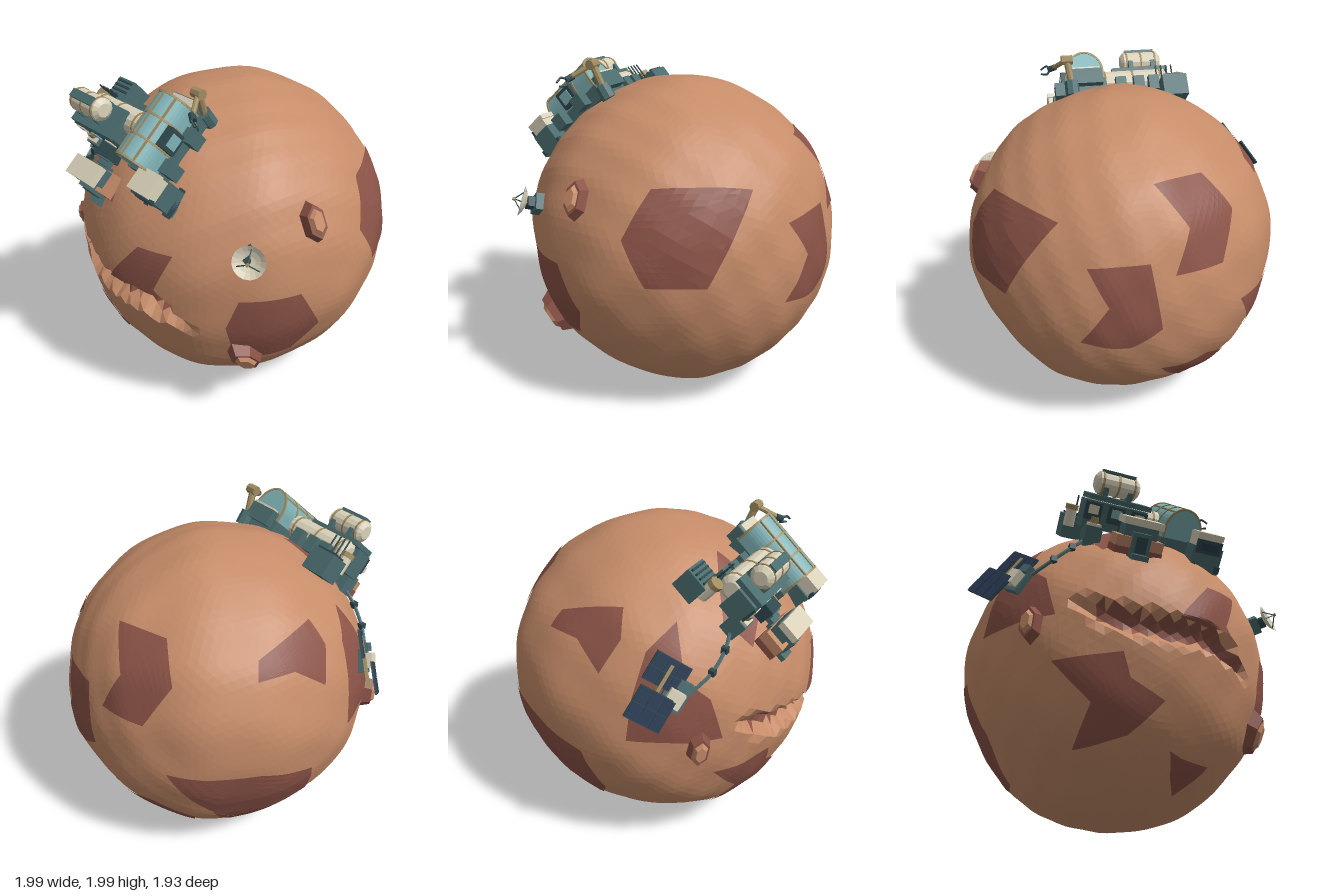
import * as THREE from 'three';

const V = (x, y, z) => new THREE.Vector3(x, y, z);
const paint = (name, color, side = THREE.FrontSide) =>
  Object.assign(new THREE.MeshStandardMaterial({ color, flatShading: true, side }), { name });

const CENTER = V(0.04, 0.955, -0.02), RADIUS = 0.942;
const clamp = THREE.MathUtils.clamp;

// Canyon centre line on the front, as x, y relative to the planet centre
const CANYON = [[-0.6, 0.14], [-0.42, 0], [-0.24, -0.06], [0, -0.09], [0.2, -0.08], [0.38, -0.13], [0.52, -0.24]];
function canyon(d) {
  const x = d.x * RADIUS, y = d.y * RADIUS;
  if (d.z < 0 || x < -0.59 || x > 0.51) return { offset: 9, width: 0.01 };
  const i = CANYON.findIndex((p, k) => k > 0 && x <= p[0]);
  const [a, b] = [CANYON[i - 1], CANYON[i]];
  const line = a[1] + (b[1] - a[1]) * (x - a[0]) / (b[0] - a[0]);
  const taper = clamp((x + 0.6) * 5, 0.05, 1) * clamp((0.52 - x) * 6, 0.05, 1);
  return { offset: y - line, width: 0.085 * taper, taper };
}
// Point on the lumpy surface in direction d
function surface(d, lift = 0) {
  const n = d.clone().normalize(), { x, y, z } = n, c = canyon(n);
  const lumps = 0.006 * Math.sin(7 * x + 2 * y) + 0.006 * Math.sin(6 * y + 5 * z + 2) + 0.004 * Math.sin(8 * x - 11 * z)
    + 0.005 * Math.sin(17 * x + 9 * z) * Math.sin(15 * y - 6 * x);
  const cut = 0.095 * (c.taper || 0) * clamp(1.7 * (1 - Math.abs(c.offset) / c.width), 0, 1);
  return n.multiplyScalar(RADIUS + lumps - cut + lift);
}
function triangles(points) {
  const g = new THREE.BufferGeometry().setFromPoints(points);
  g.computeVertexNormals();
  return g;
}

// Dark ground patch: polygon drawn in a tangent frame and wrapped over the ground
function patchPoints([right, up], outline) {
  const R = V(...right), U = V(...up), T = R.clone().cross(U), out = [], N = 8;
  const dirs = outline.map(([u, v]) => R.clone().multiplyScalar(u).addScaledVector(U, v)
    .addScaledVector(T, Math.sqrt(Math.max(0.001, RADIUS ** 2 - u * u - v * v))));
  for (const f of THREE.ShapeUtils.triangulateShape(outline.map(p => new THREE.Vector2(...p)), [])) {
    let [a, b, c] = f.map(i => dirs[i]);
    if (b.clone().sub(a).cross(c.clone().sub(a)).dot(a) < 0) [b, c] = [c, b];
    const at = (i, j) => surface(a.clone().multiplyScalar(N - i - j).addScaledVector(b, i).addScaledVector(c, j), 0.006);
    for (let i = 0; i < N; i++) for (let j = 0; j < N - i; j++) {
      out.push(at(i, j), at(i + 1, j), at(i, j + 1));
      if (i + j < N - 1) out.push(at(i + 1, j), at(i + 1, j + 1), at(i, j + 1));
    }
  }
  return out;
}
const FRONT = [[1, 0, 0], [0, 1, 0]], SIDE = [[0, 0, -1], [0, 1, 0]], TOP = [[1, 0, 0], [0, 0, -1]];
const BACK_A = [[-0.82, 0, 0.57], [0.22, 0.92, 0.32]], BACK_B = [[-0.82, 0, -0.57], [0.22, 0.92, -0.32]];
const PATCHES = [
  [FRONT, [[0.22, 0.245], [0.42, 0.245], [0.33, 0.02], [0.36, -0.02], [0.02, -0.01], [0.06, 0.05]]],
  [FRONT, [[-0.61, -0.255], [-0.28, -0.23], [-0.23, -0.36], [-0.03, -0.455], [-0.19, -0.615], [-0.43, -0.665], [-0.4, -0.47]]],
  [FRONT, [[0.06, -0.665], [0.14, -0.685], [0.33, -0.685], [0.2, -0.835], [0.12, -0.77]]],
  [FRONT, [[-0.9, 0.01], [-0.61, 0], [-0.64, 0.25], [-0.7, 0.36], [-0.58, 0.62], [-0.74, 0.49], [-0.86, 0.25]]],
  [SIDE, [[-0.61, 0.005], [-0.31, 0.015], [-0.16, -0.245], [-0.26, -0.455], [-0.54, -0.455], [-0.65, -0.185]]],
  [SIDE, [[0.23, 0.5], [0.67, 0.48], [0.62, 0.245], [0.56, 0.005], [0.27, 0.005], [0.13, 0.245]]],
  [TOP, [[-0.28, -0.5], [-0.12, -0.4], [-0.08, -0.66], [-0.35, -0.75], [-0.42, -0.6]]],
  [BACK_A, [[-0.35, 0.375], [-0.055, 0.35], [0.03, 0.11], [-0.125, -0.145], [-0.41, -0.11], [-0.28, 0.11]]],
  [BACK_A, [[0.43, 0.3], [0.61, 0.51], [0.72, 0.38], [0.765, 0.17], [0.61, 0.25], [0.45, 0.19]]],
  [BACK_A, [[0.015, -0.42], [0.53, -0.36], [0.757, -0.355], [0.7, -0.6], [0.45, -0.82], [0.29, -0.86], [0.24, -0.69], [0.14, -0.58]]],
  [BACK_B, [[0.2, 0.6], [0.5, 0.57], [0.58, 0.21], [0.43, 0.14], [0.17, 0.2], [0.33, 0.41]]],
  [BACK_B, [[0.54, -0.14], [0.74, -0.21], [0.765, -0.42], [0.605, -0.59], [0.43, -0.59], [0.57, -0.42]]],
];

export function createModel() {
  const soil = paint('soil', 0xc68c69), rock = paint('darkRock', 0x8b5347);
  const cream = paint('cream', 0xd9d1b9, THREE.DoubleSide), teal = paint('teal', 0x4b6c6e), deep = paint('deepTeal', 0x2f484d);
  const glass = paint('glass', 0x7fb2b6), tan = paint('tan', 0xa08c60), navy = paint('navy', 0x293a52);
  const model = new THREE.Group();

  const add = (parent, name, geo, mat, x = 0, y = 0, z = 0) => {
    const m = new THREE.Mesh(geo, mat);
    m.name = name;
    m.position.set(x, y, z);
    parent.add(m);
    return m;
  };
  const box = (p, name, mat, w, h, d, x, y, z) => add(p, name, new THREE.BoxGeometry(w, h, d), mat, x, y, z);
  const rod = (p, name, mat, a, b, r, r2 = r, sides = 8) => {
    const A = V(...a), B = V(...b), dir = B.clone().sub(A);
    const m = add(p, name, new THREE.CylinderGeometry(r2, r, dir.length(), sides), mat);
    m.position.copy(A.add(B).multiplyScalar(0.5));
    m.quaternion.setFromUnitVectors(V(0, 1, 0), dir.normalize());
  };
  const group = (p, name, x = 0, y = 0, z = 0) => {
    const g = new THREE.Group();
    g.name = name;
    g.position.set(x, y, z);
    p.add(g);
    return g;
  };

  // Planet, with the canyon floor and upper wall in dark rock
  const world = group(model, 'planet', ...CENTER.toArray());
  const pos = new THREE.IcosahedronGeometry(1, 20).getAttribute('position');
  const ground = [], wall = [];
  for (let i = 0; i < pos.count; i += 3) {
    const t = [0, 1, 2].map(k => V(0, 0, 0).fromBufferAttribute(pos, i + k));
    const mid = t[0].clone().add(t[1]).add(t[2]).divideScalar(3), c = canyon(mid);
    const dark = mid.x > -0.47 && c.offset > -0.35 * c.width && c.offset < c.width * 0.8;
    (dark ? wall : ground).push(...t.map(p => surface(p)));
  }
  add(world, 'ground', triangles(ground), soil);
  add(world, 'canyonWall', triangles(wall), rock);
  PATCHES.forEach(([frame, outline]) => add(world, 'groundPatch', triangles(patchPoints(frame, outline)), rock));

  // Rock outcrops, stretched along a given direction: dark rim, lighter crown
  for (const [dir, along, s] of [
    [[0.837, 0.395, 0.19], [0, 1, 0.1], 1.1], [[0.67, -0.435, 0.51], [0, 1, 1], 1.3], [[-0.71, -0.035, 0.62], [0.25, 1, 0], 1]]) {
    const Y = V(...dir).normalize(), X = Y.clone().cross(V(...along)).normalize(), Z = X.clone().cross(Y);
    const m = group(world, 'outcrop', ...surface(Y, 0.015).toArray());
    m.quaternion.setFromRotationMatrix(new THREE.Matrix4().makeBasis(X, Y, Z));
    m.scale.set(s, 1, 1.65 * s);
    add(m, 'outcropRim', new THREE.CylinderGeometry(0.053, 0.071, 0.08, 6), rock);
    add(m, 'outcropCrown', new THREE.CylinderGeometry(0.03, 0.042, 0.02, 6), soil, 0, 0.05, 0);
  }

  // Station, in a frame whose y axis leaves the planet centre
  const base = group(world, 'station');
  base.rotation.x = 0.733;

  // Greenhouse vault
  const house = group(base, 'greenhouse', 0.13, 0.975, -0.245);
  const arch = (w, h) => {
    const s = new THREE.Shape();
    s.moveTo(-w, 0).lineTo(w, 0).lineTo(w, 0.06);
    s.absellipse(0, 0.06, w, h - 0.06, 0, Math.PI, false);
    return s.lineTo(-w, 0);
  };
  const extrude = (shape, depth) => new THREE.ExtrudeGeometry(shape, { depth, bevelEnabled: false, curveSegments: 10 });
  add(house, 'vault', extrude(arch(0.113, 0.188), 0.4), glass);
  for (const z of [-0.004, 0.128, 0.26, 0.39]) {
    const ring = arch(0.118, 0.193);
    ring.holes.push(arch(0.106, 0.181));
    add(house, 'rib', extrude(ring, 0.012), tan, 0, 0, z);
  }
  for (const a of [0.9, Math.PI / 2, Math.PI - 0.9])
    box(house, 'purlin', tan, 0.01, 0.01, 0.4, 0.113 * Math.cos(a), 0.06 + 0.128 * Math.sin(a), 0.2);
  box(house, 'floor', teal, 0.25, 0.09, 0.42, 0, -0.04, 0.2);
  box(house, 'hatchFrame', deep, 0.05, 0.11, 0.12, 0.12, 0.07, 0.2);
  box(house, 'hatchWindow', glass, 0.008, 0.07, 0.075, 0.146, 0.07, 0.2);
  box(house, 'rearLocker', teal, 0.2, 0.1, 0.06, 0, 0, -0.03);
  box(house, 'rearLockerLid', cream, 0.17, 0.015, 0.045, 0, 0.055, -0.03);
  for (const z of [0.12, 0.32]) box(house, 'sideLocker', teal, 0.08, 0.09, 0.08, 0.155, -0.02, z);

  // Robot arm beside the vault
  const arm = group(base, 'robotArm', -0.03, 0, 0);
  rod(arm, 'armFoot', teal, [0.26, 0.86, -0.27], [0.26, 0.95, -0.28], 0.045);
  rod(arm, 'upperArm', tan, [0.26, 0.94, -0.28], [0.28, 1.075, -0.33], 0.022);
  rod(arm, 'elbow', tan, [0.245, 1.075, -0.33], [0.315, 1.075, -0.33], 0.03);
  rod(arm, 'forearm', tan, [0.28, 1.075, -0.33], [0.36, 1.09, -0.2], 0.015);
  rod(arm, 'wrist', deep, [0.345, 1.09, -0.21], [0.385, 1.09, -0.18], 0.02);
  for (const s of [-1, 1]) {
    rod(arm, 'claw', deep, [0.37, 1.09, -0.19], [0.4, 1.09 + 0.03 * s, -0.17], 0.007);
    rod(arm, 'clawTip', deep, [0.4, 1.09 + 0.03 * s, -0.17], [0.435, 1.09 + 0.015 * s, -0.15], 0.006);
  }

  // Cabin at the front right
  const cabin = group(base, 'cabin', 0.27, -0.035, 0.205);
  box(cabin, 'cabinBody', teal, 0.19, 0.15, 0.14, 0, 0.945, 0);
  box(cabin, 'cabinUpper', cream, 0.16, 0.07, 0.12, 0, 1.04, 0);
  box(cabin, 'cabinRoof', cream, 0.165, 0.03, 0.135, 0, 1.085, 0);
  box(cabin, 'windowFrame', deep, 0.16, 0.08, 0.02, 0, 1.02, 0.066);
  box(cabin, 'window', navy, 0.11, 0.045, 0.008, 0, 1.02, 0.078);
  for (const x of [-0.08, 0.08]) box(cabin, 'skid', deep, 0.03, 0.04, 0.17, x, 0.9, 0);

  // Entrance block on a rock footing
  const entry = group(base, 'entrance', -0.185, -0.035, 0.295);
  box(entry, 'footing', soil, 0.28, 0.1, 0.13, 0, 0.94, 0.01);
  box(entry, 'footingBand', rock, 0.285, 0.04, 0.134, 0, 0.91, 0.01);
  box(entry, 'entranceBody', teal, 0.2, 0.09, 0.1, 0, 1.02, 0);
  box(entry, 'entranceRoof', cream, 0.24, 0.04, 0.12, 0, 1.075, 0.015);
  box(entry, 'doorFrame', teal, 0.11, 0.14, 0.05, 0, 0.95, 0.07);
  box(entry, 'door', deep, 0.065, 0.09, 0.008, 0, 0.955, 0.098);
  box(entry, 'step', teal, 0.1, 0.03, 0.05, 0, 0.89, 0.11);

  // Main corridor, banded tanks and service platform
  const tank = (name, r, x0, x1, y, z) => {
    rod(base, name, cream, [x0, y, z], [x1, y, z], r, r, 14);
    rod(base, name + 'End', cream, [x0, y, z], [x0 - 0.02, y, z], r, r * 0.6, 14);
    rod(base, name + 'End', cream, [x1, y, z], [x1 + 0.02, y, z], r, r * 0.6, 14);
    for (const t of [0.08, 0.5, 0.92]) {
      const x = x0 + (x1 - x0) * t;
      rod(base, name + 'Band', tan, [x - 0.006, y, z], [x + 0.006, y, z], r + 0.004, r + 0.004, 14);
    }
  };
  tank('corridor', 0.075, -0.42, 0.02, 1.03, -0.055);
  tank('upperTank', 0.065, -0.4, -0.17, 1.195, -0.005);
  for (const x of [-0.36, -0.21]) box(base, 'tankSaddle', teal, 0.03, 0.07, 0.14, x, 1.14, -0.005);
  box(base, 'tankRail', teal, 0.2, 0.022, 0.05, -0.285, 1.262, -0.005);
  box(base, 'platform', teal, 0.38, 0.03, 0.18, -0.265, 1.11, 0.015);
  box(base, 'serviceBlock', teal, 0.38, 0.16, 0.13, -0.28, 1.01, 0.03);
  for (const x of [-0.42, -0.28, -0.14]) {
    box(base, 'panelFrame', deep, 0.1, 0.1, 0.02, x, 1.03, 0.1);
    box(base, 'panel', x === -0.28 ? glass : cream, 0.06, 0.05, 0.008, x, 1.04, 0.113);
  }
  box(base, 'lowerDoor', deep, 0.12, 0.1, 0.12, -0.19, 0.96, 0.13);
  for (let i = 0; i < 3; i++) box(base, 'stair', teal, 0.1, 0.03, 0.04, -0.19, 0.98 - i * 0.025, 0.18 + i * 0.03);
  box(base, 'sidePod', teal, 0.08, 0.12, 0.1, -0.04, 0.95, 0.06);
  box(base, 'sidePodLid', cream, 0.06, 0.015, 0.08, -0.04, 1.017, 0.06);
  for (const x of [-0.33, -0.23, -0.11]) box(base, 'rearUnit', teal, 0.07, 0.1, 0.06, x, 0.97, -0.14);

  // Vent unit and masts behind
  box(base, 'ventUnit', teal, 0.16, 0.14, 0.14, -0.44, 0.895, -0.21);
  for (let i = 0; i < 4; i++) box(base, 'ventFin', deep, 0.13, 0.015, 0.012, -0.44, 0.97, -0.26 + i * 0.03);
  rod(base, 'ventStack', cream, [-0.49, 0.9, -0.13], [-0.49, 1, -0.13], 0.034);
  rod(base, 'ventCap', tan, [-0.49, 1, -0.13], [-0.49, 1.03, -0.13], 0.04);
  for (let i = 0; i < 4; i++) rod(base, 'mast', deep, [-0.46 + i * 0.035, 0.95, -0.15], [-0.46 + i * 0.035, 1.09, -0.15], 0.005);

  // Junction box and power cable to the solar array
  box(base, 'junctionBox', teal, 0.1, 0.12, 0.1, -0.4, 0.89, 0.1);
  box(base, 'junctionLid', cream, 0.08, 0.015, 0.08, -0.4, 0.957, 0.1);
  rod(base, 'junctionCap', tan, [-0.4, 0.96, 0.1], [-0.4, 1, 0.1], 0.028);
  const path = [[-0.42, 0.56, 0.64], [-0.5, 0.48, 0.65], [-0.6, 0.39, 0.63], [-0.7, 0.3, 0.56]].map(p => surface(V(...p), 0.02));
  add(world, 'powerCable', new THREE.TubeGeometry(new THREE.CatmullRomCurve3(path), 20, 0.011, 6), teal);
  path.slice(1, 3).forEach(p => box(world, 'cableClip', deep, 0.035, 0.035, 0.035, p.x, p.y, p.z));

  // Solar array: two panels, the upper one set back
  const array = group(world, 'solarArray', -0.85, 0.355, 0.455);
  const A = V(0.11, 0.15, 0.05).normalize(), N = V(-0.66, 0.26, 0.7).normalize();
  const B = N.clone().cross(A).normalize();
  N.copy(A).cross(B);
  array.quaternion.setFromRotationMatrix(new THREE.Matrix4().makeBasis(A, B, N));
  for (const [u, w, n] of [[-0.1, 0.19, 0.02], [0.1, 0.165, -0.025]]) {
    box(array, 'panelBacking', deep, w, 0.22, 0.012, u, 0, n);
    for (const i of [-1, 1]) for (const j of [-1, 0, 1])
      box(array, 'solarCell', navy, w / 2 - 0.008, 0.066, 0.006, u + i * w * 0.242, j * 0.072, n + 0.008);
  }
  box(array, 'arraySpar', tan, 0.3, 0.02, 0.02, 0, 0, -0.02);
  const mount = (name, dir) => {
    const d = V(...dir).normalize(), g = group(world, name, ...surface(d).toArray());
    g.quaternion.setFromUnitVectors(V(0, 1, 0), d);
    return g;
  };
  const hub = mount('arrayHub', [-0.77, 0.29, 0.5]);
  box(hub, 'hubFoot', teal, 0.14, 0.05, 0.13, 0, 0.01, 0);
  box(hub, 'hubBox', cream, 0.09, 0.06, 0.09, 0, 0.05, 0);
  box(hub, 'hubUnit', teal, 0.05, 0.07, 0.08, 0.08, 0.02, 0.02);

  // Antenna dish
  const stand = mount('dishStand', [0.74, 0.28, 0.56]);
  box(stand, 'dishFoot', teal, 0.1, 0.07, 0.1, 0, 0.01, 0);
  box(stand, 'dishBox', deep, 0.06, 0.05, 0.06, 0, 0.06, 0);
  const dish = group(world, 'dish', 0.78, 0.295, 0.595);
  dish.quaternion.setFromUnitVectors(V(0, 1, 0), V(0.56, 0.33, 0.76).normalize());
  const bowl = [0.001, 0.03, 0.06, 0.09].map(r => new THREE.Vector2(r, r * r * 4));
  add(dish, 'bowl', new THREE.LatheGeometry(bowl, 16), cream);
  rod(dish, 'dishNeck', tan, [0, -0.06, 0], [0, 0, 0], 0.015);
  for (let i = 0; i < 3; i++) {
    const a = i * Math.PI * 2 / 3;
    rod(dish, 'feedStrut', deep, [0.07 * Math.cos(a), 0.02, 0.07 * Math.sin(a)], [0, 0.075, 0], 0.0035, 0.0035, 5);
  }
  rod(dish, 'feed', tan, [0, 0.068, 0], [0, 0.085, 0], 0.01);
  return model;
}
